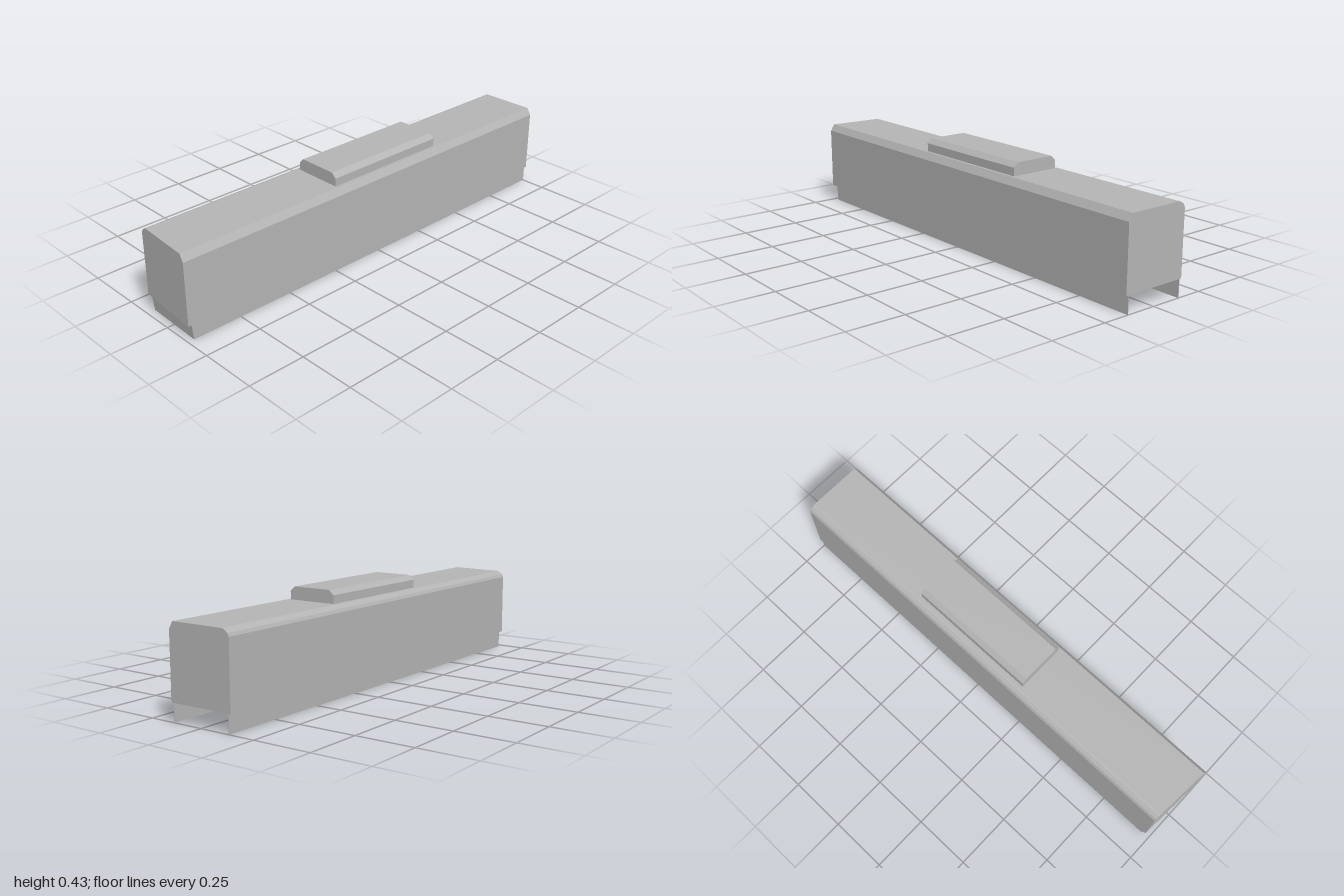
import * as THREE from 'three';

const grey = new THREE.MeshStandardMaterial({ color: 0xb4b4b4, side: THREE.DoubleSide });
grey.name = 'plain grey';

// Extrudes an x-y outline from zBack to zFront
function prism(name, outline, zBack, zFront) {
  const shape = new THREE.Shape(outline.map(([x, y]) => new THREE.Vector2(x, y)));
  const geo = new THREE.ExtrudeGeometry(shape, { depth: zFront - zBack, bevelEnabled: false });
  geo.translate(0, 0, zBack);
  const mesh = new THREE.Mesh(geo, grey);
  mesh.name = name;
  return mesh;
}

// Moves the vertices of the front end by a rule
function slantFront(mesh, rule) {
  const p = mesh.geometry.attributes.position;
  for (let i = 0; i < p.count; i++) {
    if (p.getZ(i) > 0) p.setZ(i, rule(p.getX(i), p.getY(i)));
  }
  mesh.geometry.computeVertexNormals();
}

function box(name, w, h, d, x, y, z) {
  const mesh = new THREE.Mesh(new THREE.BoxGeometry(w, h, d), grey);
  mesh.position.set(x, y, z);
  mesh.name = name;
  return mesh;
}

export function createModel() {
  const model = new THREE.Group();
  model.name = 'carriage';

  // Main body: chamfered on one roof edge, rounded on the other
  const body = prism('body', [
    [-0.146, 0.075], [0.146, 0.075], [0.146, 0.348], [0.128, 0.378],
    [-0.115, 0.378], [-0.126, 0.374], [-0.14, 0.363], [-0.146, 0.35],
  ], -1, 1);
  slantFront(body, (x) => 0.99 + (x / 0.146) * 0.01);
  model.add(body);

  // Roof unit
  model.add(prism('roofUnit', [
    [-0.102, 0.378], [0.116, 0.378], [0.116, 0.413],
    [0.094, 0.433], [-0.082, 0.433], [-0.102, 0.413],
  ], -0.35, 0.23));

  // Skirt: thin side walls and front wall, open below and at the rear
  const skirt = new THREE.Group();
  skirt.name = 'skirt';
  const frontZ = (x, y) => 0.968 + 0.1 * y + 0.03 * x;
  for (const [name, x] of [['rightSkirt', -0.136], ['leftSkirt', 0.134]]) {
    const wall = box(name, 0.002, 0.075, 1.98, x, 0.0375, -0.01);
    wall.geometry.translate(x, 0.0375, -0.01);
    wall.position.set(0, 0, 0);
    slantFront(wall, frontZ);
    skirt.add(wall);
  }
  const front = new THREE.PlaneGeometry(0.272, 0.075).translate(-0.001, 0.0375, 0.97);
  const frontWall = new THREE.Mesh(front, grey);
  frontWall.name = 'frontSkirt';
  slantFront(frontWall, frontZ);
  skirt.add(frontWall);
  model.add(skirt);

  // Small ribs on the underside, in three sets of three
  for (const start of [-0.58, -0.09, 0.41]) {
    for (let i = 0; i < 3; i++) {
      model.add(box('undersideRib', 0.08, 0.003, 0.004, -0.07, 0.0735, start + i * 0.105));
    }
  }
  return model;
}
